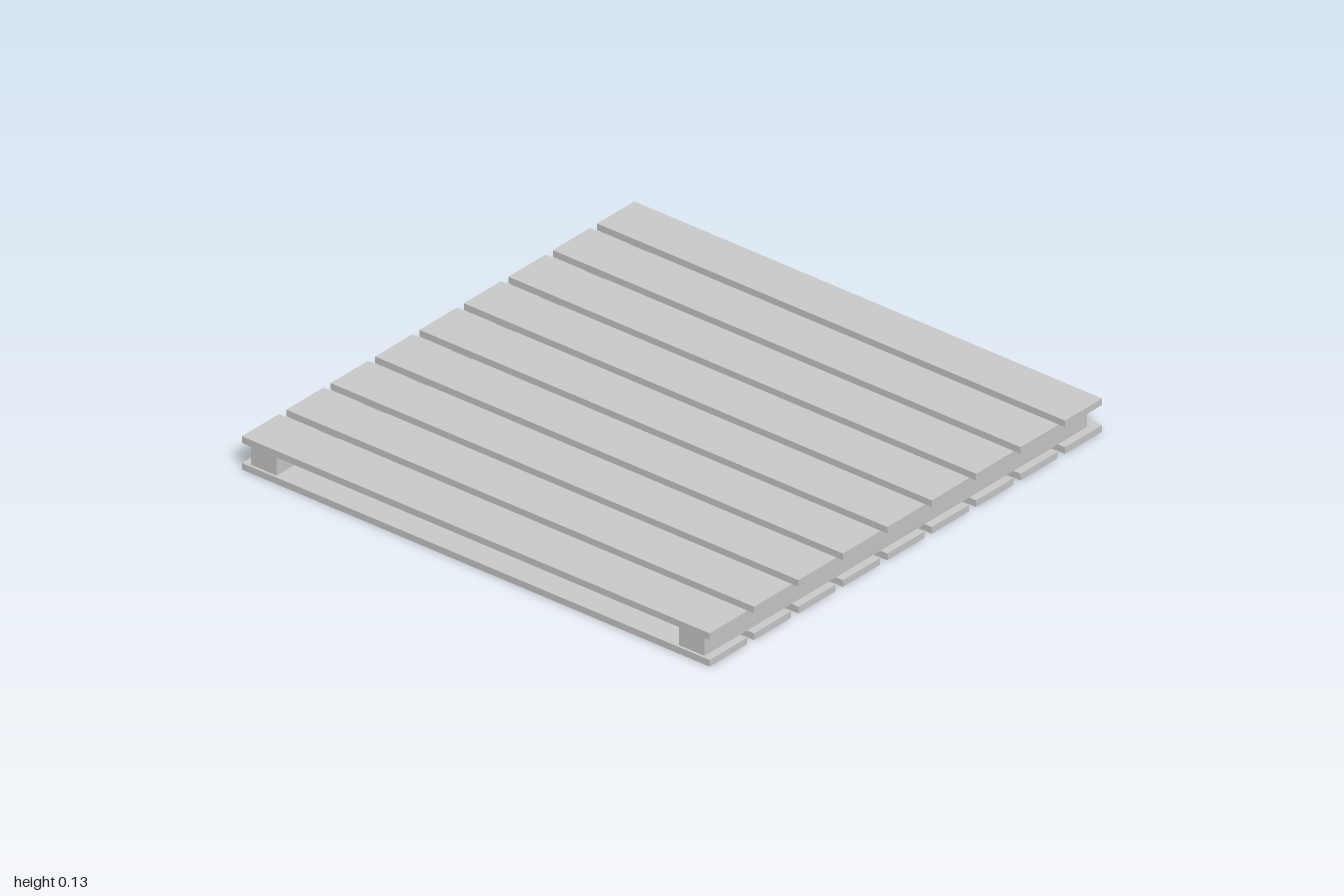
import * as THREE from 'three';

export function createModel() {
  const group = new THREE.Group();
  const material = new THREE.MeshStandardMaterial({ color: 0xcccccc });
  const height = 0.126, boardThickness = 0.025, boardDepth = 0.189;
  const boardCount = 9;
  const pitch = (2 - boardDepth) / (boardCount - 1);

  function addBox(name, w, h, d, x, y, z) {
    const mesh = new THREE.Mesh(new THREE.BoxGeometry(w, h, d), material);
    mesh.name = name;
    mesh.position.set(x, y, z);
    group.add(mesh);
  }

  // Matching rows of deck boards, top and bottom
  for (let i = 0; i < boardCount; i++) {
    const z = (i - (boardCount - 1) / 2) * pitch;
    addBox('topBoard', 2, boardThickness, boardDepth, 0, height - boardThickness / 2, z);
    addBox('bottomBoard', 2, boardThickness, boardDepth, 0, boardThickness / 2, z);
  }

  // Side rails between the decks, set slightly towards the front
  const railHeight = height - 2 * boardThickness;
  for (const side of [-1, 1]) {
    addBox(side > 0 ? 'leftRail' : 'rightRail', 0.11, railHeight, 1.95, side * 0.915, height / 2, 0.015);
  }
  return group;
}
